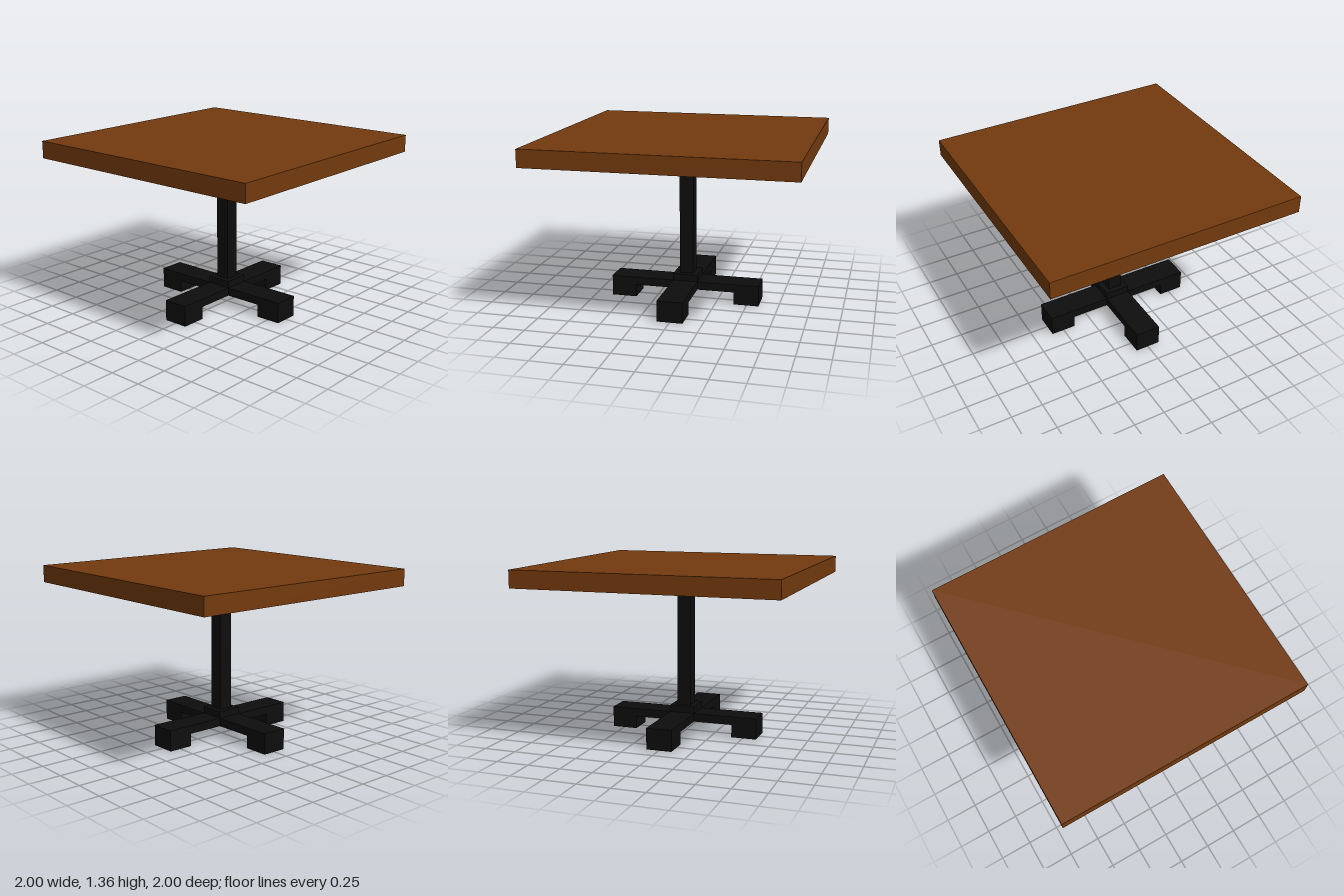
import * as THREE from 'three';

export function createModel() {
  const group = new THREE.Group();
  const wood = new THREE.MeshStandardMaterial({ color: 0x733a0e });
  wood.name = 'brown wood';
  const metal = new THREE.MeshStandardMaterial({ color: 0x0d0d0d });
  metal.name = 'black metal';

  // Box given by its extents on each axis
  const box = (name, material, [x0, x1], [y0, y1], [z0, z1]) => {
    const mesh = new THREE.Mesh(new THREE.BoxGeometry(x1 - x0, y1 - y0, z1 - z0), material);
    mesh.position.set((x0 + x1) / 2, (y0 + y1) / 2, (z0 + z1) / 2);
    mesh.name = name;
    group.add(mesh);
  };

  box('tableTop', wood, [-1, 1], [1.22, 1.355], [-1, 1]);

  // Thin cross bracket under the top
  box('bracketAcross', metal, [-0.31, 0.3], [1.19, 1.22], [-0.05, 0.05]);
  box('bracketFrontBack', metal, [-0.05, 0.05], [1.19, 1.22], [-0.3, 0.31]);

  // Square column and its collar
  box('column', metal, [-0.055, 0.055], [0.2, 1.2], [-0.055, 0.055]);
  box('collar', metal, [-0.1, 0.1], [0.16, 0.22], [-0.1, 0.1]);

  // Crossed base arms
  box('baseArmAcross', metal, [-0.61, 0.595], [0.1, 0.165], [-0.1, 0.1]);
  box('baseArmFrontBack', metal, [-0.1, 0.1], [0.1, 0.165], [-0.62, 0.6]);

  // Feet below the arm ends
  box('footRight', metal, [-0.61, -0.41], [0, 0.1], [-0.1, 0.1]);
  box('footLeft', metal, [0.395, 0.595], [0, 0.1], [-0.1, 0.1]);
  box('footFront', metal, [-0.1, 0.1], [0, 0.1], [0.4, 0.6]);
  box('footBack', metal, [-0.1, 0.1], [0, 0.1], [-0.62, -0.42]);

  return group;
}
